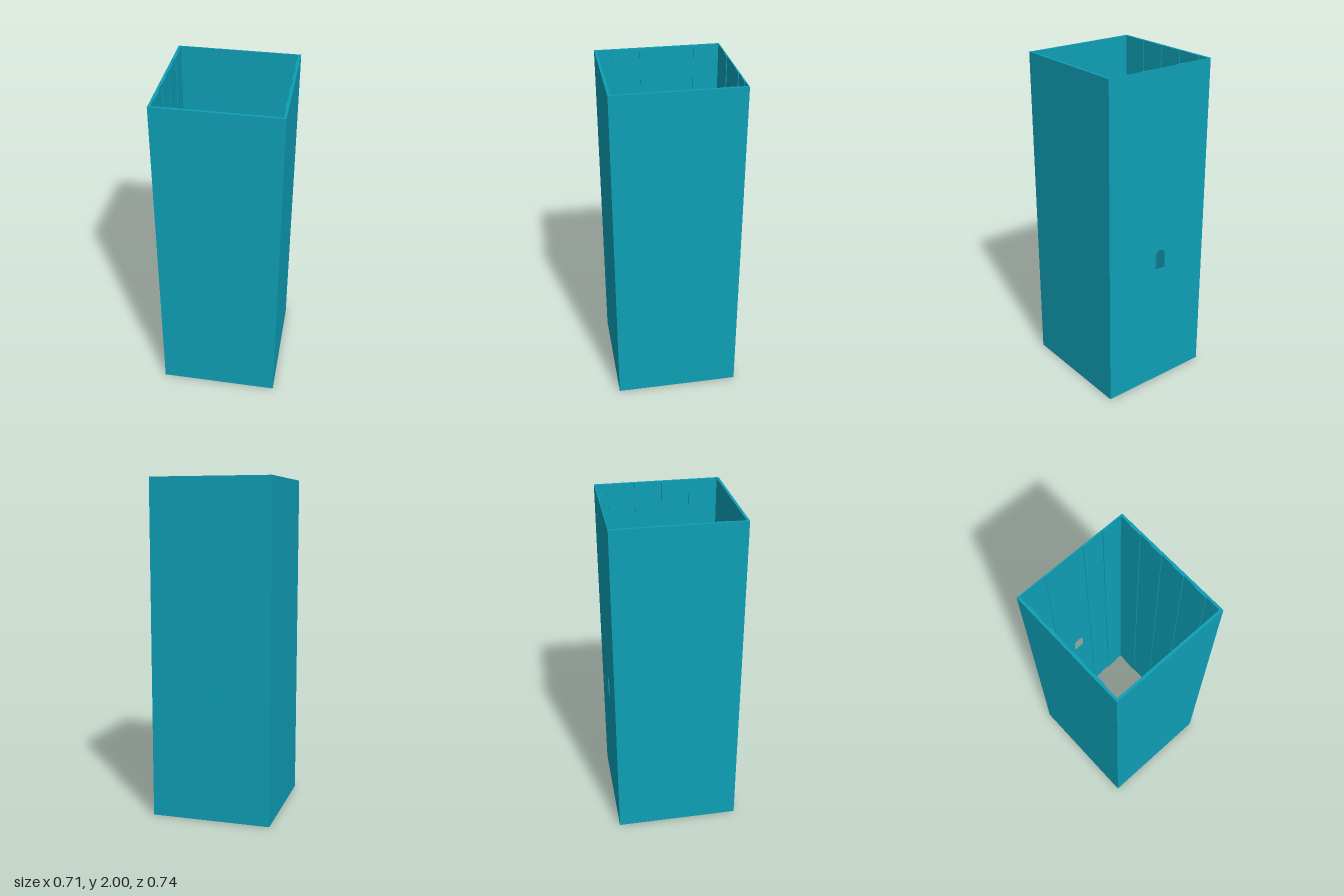
import * as THREE from 'three';

const W = 0.357, D = 0.372, H = 2;          // half width, half depth, height
const SIDE = 0.014, FRONT = 0.015, BACK = 0.005, RIB = 0.0045;

export function createModel() {
  const group = new THREE.Group();
  const material = new THREE.MeshStandardMaterial({ color: 0x0e9fb6 });

  const add = (name, geometry, x, y, z) => {
    const mesh = new THREE.Mesh(geometry, material);
    mesh.name = name;
    mesh.position.set(x, y, z);
    group.add(mesh);
    return mesh;
  };
  // box given by its minimum and maximum corners
  const block = (name, x0, x1, y0, y1, z0, z1) =>
    add(name, new THREE.BoxGeometry(x1 - x0, y1 - y0, z1 - z0),
      (x0 + x1) / 2, (y0 + y1) / 2, (z0 + z1) / 2);

  // front wall, full width
  block('frontWall', -W, W, 0, H, D - FRONT, D);

  // side walls with four shallow inner ribs each
  for (const s of [-1, 1]) {
    const side = s < 0 ? 'right' : 'left';
    const depth = 2 * D - FRONT - BACK;
    add(side + 'Wall', new THREE.BoxGeometry(SIDE, H, depth),
      s * (W - SIDE / 2), H / 2, (BACK - FRONT) / 2);
    for (let i = 0; i < 4; i++) {
      add(side + 'Rib', new THREE.BoxGeometry(RIB, H, 0.08),
        s * (W - SIDE - RIB / 2), H / 2, -0.255 + i * 0.1605);
    }
  }

  // thin back wall pierced by a small arched window
  const wall = new THREE.Shape();
  wall.moveTo(-W, 0);
  wall.lineTo(W, 0);
  wall.lineTo(W, H);
  wall.lineTo(-W, H);
  wall.closePath();
  const cx = -0.019, r = 0.036, sill = 0.782, spring = 0.87;
  const arch = new THREE.Path();
  arch.moveTo(cx - r, sill);
  arch.lineTo(cx - r, spring);
  arch.absarc(cx, spring, r, Math.PI, 0, true);
  arch.lineTo(cx + r, sill);
  arch.closePath();
  wall.holes.push(arch);
  add('backWall', new THREE.ExtrudeGeometry(wall,
    { depth: BACK, bevelEnabled: false, curveSegments: 16 }), 0, 0, -D);

  // inner ribs of the back wall: [from, to, top]
  const zBack = -D + BACK;
  for (const [x0, x1, top] of [
    [-0.292, -0.234, 1.5], [-0.178, -0.12, H], [0.08, 0.148, H], [0.215, 0.282, H],
  ]) {
    block('backRib', x0, x1, 0, top, zBack, zBack + RIB);
  }

  // small round knob between two of the back ribs
  const knob = new THREE.LatheGeometry(
    [[0, 0], [0.017, 0], [0.017, 0.016], [0.014, 0.02], [0, 0.02]]
      .map(([x, y]) => new THREE.Vector2(x, y)), 16);
  add('knob', knob, -0.205, 0.85, zBack).rotation.x = Math.PI / 2;

  return group;
}
